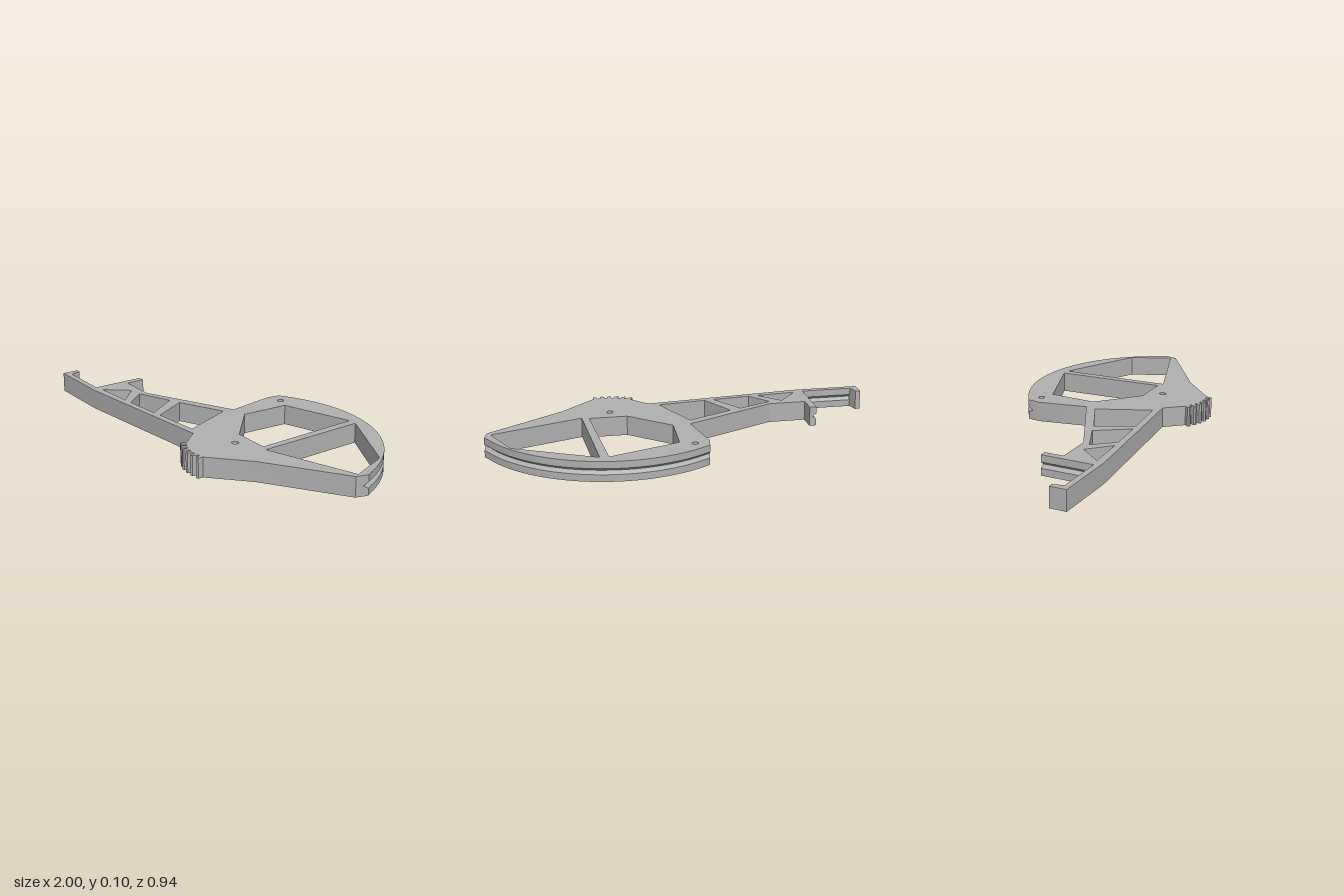
import * as THREE from 'three';
import { toCreasedNormals } from 'three/addons/utils/BufferGeometryUtils.js';

const HEIGHT = 0.1;
const GROOVE = 0.018;                       // depth of the V groove
const PIVOT = { x: 0.356, z: 0.215 };       // shared centre of rim arc and gear
const RIM = 0.687;

// Plan point (x, z) with the shift of the groove bottom (dx, dz)
const pt = (x, z, dx = 0, dz = 0) => ({ x, z, dx, dz });
const pts = (list) => list.map((p) => pt(...p));

function polar(radius, degrees) {
  const a = THREE.MathUtils.degToRad(degrees);
  return pt(PIVOT.x + radius * Math.sin(a), PIVOT.z + radius * Math.cos(a));
}

function circle(x, z, r, n = 24) {
  return Array.from({ length: n }, (_, i) => {
    const a = (i / n) * Math.PI * 2;
    return pt(x + r * Math.cos(a), z + r * Math.sin(a));
  });
}

// Six gear teeth, leaning slightly to one side
function gearTeeth() {
  const out = [];
  for (let i = 0; i < 6; i++) {
    const c = -33 + i * 9;
    out.push(polar(0.226, c - 2.6), polar(0.247, c - 2.9), polar(0.255, c - 1.4),
      polar(0.251, c + 1.2), polar(0.238, c + 2.4), polar(0.226, c + 2.8));
  }
  return out;
}

// Curved rim with its groove running out through both end faces
function rimArc() {
  const out = [pt(0.997, -0.045, -0.007, 0.026)];
  const start = 113, end = 214, n = 48;
  for (let i = 1; i < n; i++) {
    const p = polar(RIM, start + ((end - start) * i) / n);
    p.dx = ((PIVOT.x - p.x) / RIM) * GROOVE;
    p.dz = ((PIVOT.z - p.z) / RIM) * GROOVE;
    out.push(p);
  }
  out.push(pt(-0.045, -0.345, -0.004, 0.025));
  return out;
}

function outline() {
  return [
    // neck and top of the arm
    ...pts([[-0.056, -0.28], [-0.01, -0.035], [-0.47, 0.19], [-0.66, 0.19], [-0.66, 0.095]]),
    // grooved fork, ending at the small hook
    pt(-0.695, 0.095, GROOVE, 0),
    pt(-0.695, 0.36, GROOVE, GROOVE),
    pt(-0.96, 0.36, 0, GROOVE),
    ...pts([[-0.96, 0.36], [-0.975, 0.307], [-1, 0.307], [-1, 0.39]]),
    // underside of the arm
    ...pts([[-0.66, 0.39], [0.145, 0.31], [0.213, 0.385]]),
    ...gearTeeth(),
    ...pts([[0.415, 0.435], [0.595, 0.27], [0.98, 0.015]]),
    ...rimArc(),
  ];
}

const openings = () => [
  // two large windows in the head
  pts([[0.09, -0.28], [0.442, -0.405], [0.47, 0.137], [0.28, 0.137], [0.077, -0.04]]),
  pts([[0.485, -0.405], [0.88, -0.21], [0.965, -0.01], [0.507, 0.15]]),
  // three lightening holes in the arm
  pts([[-0.02, 0.02], [0.093, 0.28], [-0.152, 0.307], [-0.25, 0.13]]),
  pts([[-0.307, 0.152], [-0.2, 0.313], [-0.393, 0.33], [-0.48, 0.227]]),
  pts([[-0.548, 0.232], [-0.44, 0.335], [-0.645, 0.35]]),
  // pin holes
  circle(0.02, -0.307, 0.016),
  circle(PIVOT.x, PIVOT.z, 0.017),
];

// Plate made of two caps and walls; levels are [height, groove share]
function plateGeometry(outer, holes) {
  const flat = (loop) => loop.map((p) => new THREE.Vector2(p.x, p.z));
  const orient = (loop, clockwise) =>
    THREE.ShapeUtils.isClockWise(flat(loop)) === clockwise ? loop : loop.slice().reverse();
  const position = [];
  const triangle = (a, b, c) => {
    const area = b.clone().sub(a).cross(c.clone().sub(a)).length();
    if (area > 1e-9) for (const v of [a, b, c]) position.push(v.x, v.y, v.z);
  };
  const walls = (loop, levels) => {
    const at = (p, [y, k]) => new THREE.Vector3(p.x + p.dx * k, y, p.z + p.dz * k);
    loop.forEach((p, i) => {
      const q = loop[(i + 1) % loop.length];
      for (let j = 0; j + 1 < levels.length; j++) {
        const a0 = at(p, levels[j]), a1 = at(p, levels[j + 1]);
        const b0 = at(q, levels[j]), b1 = at(q, levels[j + 1]);
        triangle(a0, a1, b1);
        triangle(a0, b1, b0);
      }
    });
  };

  const rim = orient(outer, false);
  const cuts = holes.map((h) => orient(h, true));
  walls(rim, [[0, 0], [0.035, 0], [0.05, 1], [0.065, 0], [HEIGHT, 0]]);
  cuts.forEach((h) => walls(h, [[0, 0], [HEIGHT, 0]]));

  // caps, without the doubled point at the groove end
  const edge = flat(rim).filter((p, i, all) => i === 0 || !p.equals(all[i - 1]));
  const inner = cuts.map(flat);
  const faces = THREE.ShapeUtils.triangulateShape(edge, inner);
  const all = [...edge, ...inner.flat()];
  for (const [a, b, c] of faces) {
    const at = (i, y) => new THREE.Vector3(all[i].x, y, all[i].y);
    triangle(at(a, 0), at(b, 0), at(c, 0));
    triangle(at(a, HEIGHT), at(c, HEIGHT), at(b, HEIGHT));
  }

  const geometry = new THREE.BufferGeometry();
  geometry.setAttribute('position', new THREE.Float32BufferAttribute(position, 3));
  return toCreasedNormals(geometry, 0.4);
}

export function createModel() {
  const grey = new THREE.MeshStandardMaterial({ color: 0xb0b0b0 });
  grey.name = 'plain grey';
  const plate = new THREE.Mesh(plateGeometry(outline(), openings()), grey);
  plate.name = 'leverPlate';
  const group = new THREE.Group();
  group.name = 'gearedLever';
  group.add(plate);
  return group;
}
